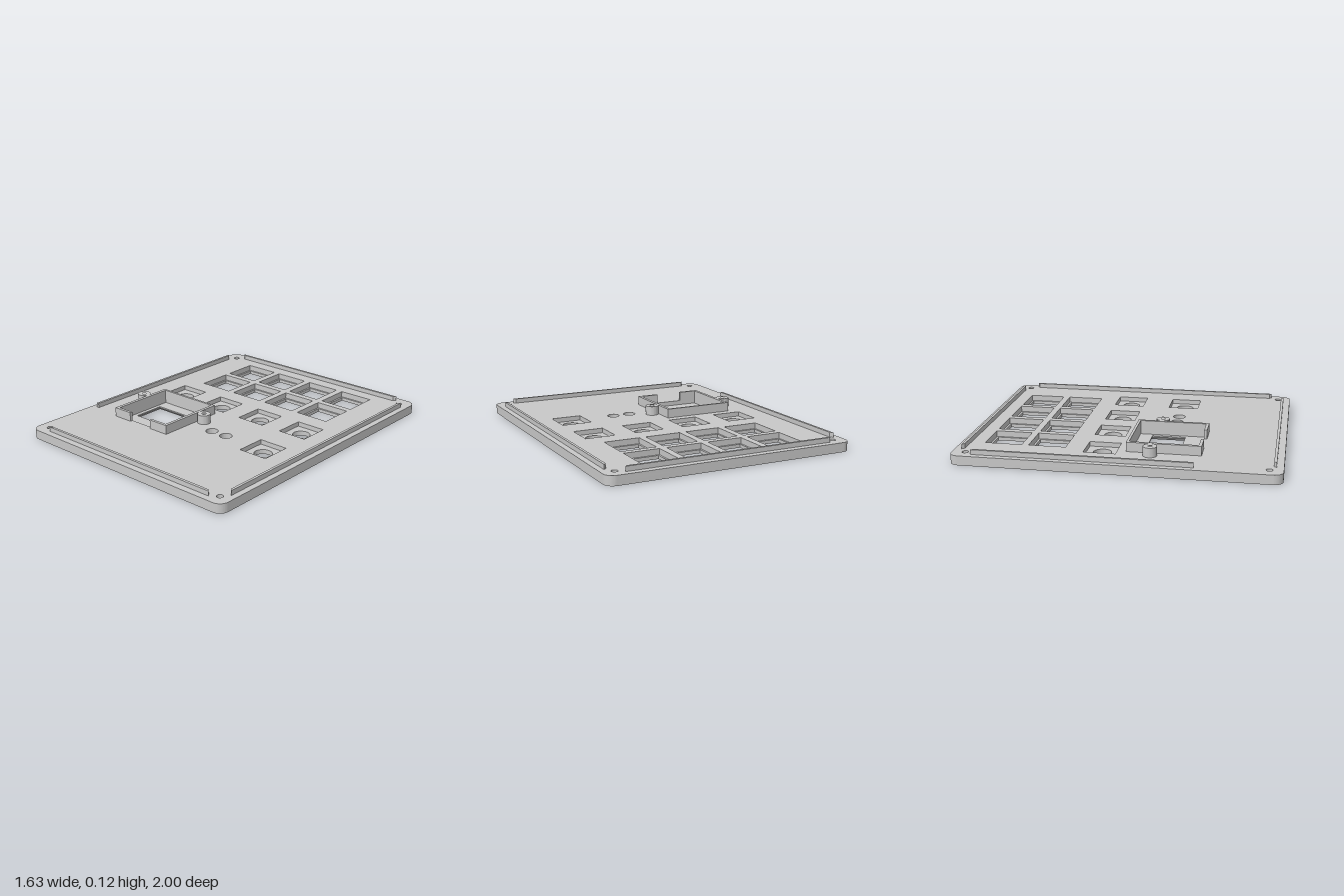
import * as THREE from 'three';
import { toCreasedNormals } from 'three/addons/utils/BufferGeometryUtils.js';

const grey = new THREE.MeshStandardMaterial({ color: 0xc8c8c8 });
grey.name = 'plate grey';

// All outlines are drawn in the x/z plane
function rect(x0, z0, x1, z1) {
  return [[x0, z0], [x1, z0], [x1, z1], [x0, z1]].map(p => new THREE.Vector2(...p));
}
const square = (x, z, s) => rect(x - s / 2, z - s / 2, x + s / 2, z + s / 2);
const circle = (x, z, r) => new THREE.Path().absarc(x, z, r, 0, Math.PI * 2, true).getPoints(20);

function addMesh(name, geo) {
  const mesh = new THREE.Mesh(geo, grey);
  mesh.name = name;
  return mesh;
}

// Upright solid between heights y0 and y1, with holes
function solid(name, outline, holes, y0, y1) {
  const shape = new THREE.Shape(outline);
  shape.holes = holes.map(h => new THREE.Path(h));
  const geo = new THREE.ExtrudeGeometry(shape, { depth: y1 - y0, bevelEnabled: false });
  geo.rotateX(Math.PI / 2).translate(0, y1, 0);
  return addMesh(name, toCreasedNormals(geo, 0.6));
}

// Sloping faces from a wide outline at y0 to a narrow one at y1, seen from inside
function bevel(name, wide, narrow, y0, y1) {
  const points = [];
  wide.forEach((a, i) => {
    const j = (i + 1) % wide.length;
    const A = [a.x, y0, a.y], B = [wide[j].x, y0, wide[j].y];
    const C = [narrow[j].x, y1, narrow[j].y], D = [narrow[i].x, y1, narrow[i].y];
    points.push(...A, ...B, ...C, ...A, ...C, ...D);
  });
  const geo = new THREE.BufferGeometry();
  geo.setAttribute('position', new THREE.Float32BufferAttribute(points, 3));
  geo.computeVertexNormals();
  return addMesh(name, geo);
}

function roundedOutline(w, d, r) {
  const s = new THREE.Shape();
  s.absarc(w - r, d - r, r, 0, Math.PI / 2);
  s.absarc(-w + r, d - r, r, Math.PI / 2, Math.PI);
  s.absarc(-w + r, -d + r, r, Math.PI, Math.PI * 1.5);
  s.absarc(w - r, -d + r, r, Math.PI * 1.5, Math.PI * 2);
  return s.getPoints(8);
}

export function createModel() {
  const group = new THREE.Group();
  group.name = 'controlPanel';

  // Positions of the openings
  const keys = [];
  for (const z of [-0.735, -0.455])
    for (let i = 0; i < 4; i++) keys.push([-0.424 + i * 0.282, z]);
  const knobs = [[-0.512, -0.112], [-0.171, -0.112], [0.169, -0.112], [0.51, -0.112], [0.51, 0.272]];
  const corners = [[-0.732, -0.917], [0.732, -0.917], [-0.732, 0.917], [0.732, 0.917]];

  const keyHoles = keys.map(([x, z]) => square(x, z, 0.21));
  const keyPockets = keys.map(([x, z]) => square(x, z, 0.236));
  const knobHoles = knobs.map(([x, z]) => circle(x, z, 0.057));
  const knobPockets = knobs.map(([x, z]) => square(x, z, 0.2));
  const lampHoles = [0.088, 0.206].map(x => circle(x, 0.272, 0.04));
  const screwHoles = corners.map(([x, z]) => circle(x, z, 0.02));
  const screwPockets = corners.map(([x, z]) => circle(x, z, 0.035));
  const displayHole = rect(-0.512, 0.142, -0.142, 0.356);
  const displayMouth = rect(-0.534, 0.12, -0.12, 0.378);
  const displayPocket = rect(-0.538, 0.06, -0.114, 0.486);

  // Plate in layers, so the pockets leave ledges
  const outline = roundedOutline(0.813, 1, 0.06);
  group.add(
    solid('plateFace', outline,
      [...keyHoles, ...knobHoles, ...lampHoles, ...screwPockets, displayMouth], 0, 0.022),
    bevel('displayBevel', displayMouth, displayHole, 0, 0.022),
    solid('plateCore', outline,
      [...keyPockets, ...knobHoles, ...lampHoles, ...screwPockets, displayHole], 0.022, 0.03),
    solid('plateInside', outline,
      [...keyPockets, ...knobPockets, ...lampHoles, ...screwHoles, displayPocket], 0.03, 0.06));

  // Locating rails along the edges, with mitred ends
  const v = (x, z) => new THREE.Vector2(x, z);
  for (const s of [-1, 1]) {
    group.add(solid(s < 0 ? 'backRail' : 'frontRail',
      [v(-0.685, s * 0.957), v(0.685, s * 0.957), v(0.67, s * 0.94), v(-0.67, s * 0.94)], [], 0.06, 0.09));
    const outerEnd = s < 0 ? 0.48 : 0.87, innerEnd = s < 0 ? 0.48 : 0.855;
    group.add(solid(s < 0 ? 'rightRail' : 'leftRail',
      [v(s * 0.774, -0.87), v(s * 0.774, outerEnd), v(s * 0.757, innerEnd), v(s * 0.757, -0.855)],
      [], 0.06, 0.09));
  }

  // Display frame: one open wall with a gap at the front
  const frame = [
    [-0.42, 0.505], [-0.56, 0.505], [-0.56, 0.044], [-0.093, 0.044], [-0.093, 0.505], [-0.238, 0.505],
    [-0.238, 0.486], [-0.114, 0.486], [-0.114, 0.06], [-0.538, 0.06], [-0.538, 0.486], [-0.42, 0.486],
  ].map(p => v(...p));
  group.add(solid('displayFrame', frame, [], 0.06, 0.12));

  // Screw bosses beside the frame
  for (const [name, x, wall] of [['rightBoss', -0.605, -0.555], ['leftBoss', -0.05, -0.1]]) {
    group.add(solid(name, circle(x, 0.198, 0.043), [circle(x, 0.198, 0.013)], 0.06, 0.12));
    group.add(solid(name + 'Neck', rect(wall - 0.012, 0.186, wall + 0.012, 0.21), [], 0.06, 0.1195));
  }
  return group;
}
